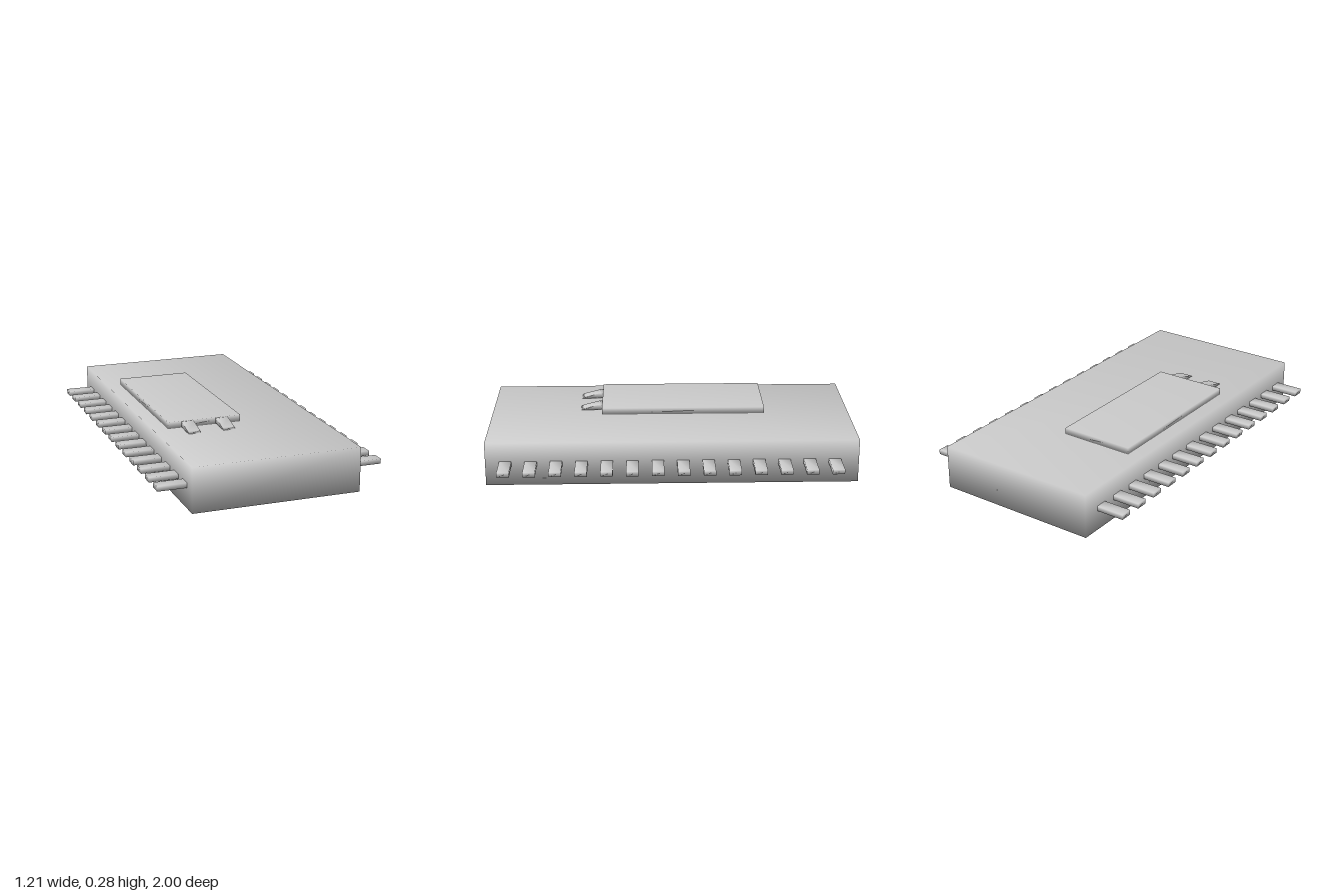
import * as THREE from 'three';
import { mergeVertices } from 'three/addons/utils/BufferGeometryUtils.js';

const material = new THREE.MeshStandardMaterial({ color: 0xcccccc });

// Weld the corners so the shading runs smoothly around each block
function smooth(geometry) {
  geometry.deleteAttribute('normal');
  geometry.deleteAttribute('uv');
  const welded = mergeVertices(geometry, 1e-4);
  welded.computeVertexNormals();
  return welded;
}

function addPart(parent, name, geometry, x = 0, y = 0, z = 0) {
  const mesh = new THREE.Mesh(geometry, material);
  mesh.name = name;
  mesh.position.set(x, y, z);
  parent.add(mesh);
}

const block = (w, h, d) => smooth(new THREE.BoxGeometry(w, h, d));

export function createModel() {
  const model = new THREE.Group();
  model.name = 'integratedCircuit';

  // Main housing
  addPart(model, 'body', block(0.906, 0.24, 2), 0, 0.12, 0);

  // Rows of flat pins along both long sides
  const pinCount = 14;
  const pinGeometry = block(0.156, 0.026, 0.065);
  for (const side of [-1, 1]) {
    const row = new THREE.Group();
    row.name = side > 0 ? 'leftPins' : 'rightPins';
    for (let i = 0; i < pinCount; i++) {
      addPart(row, 'pin', pinGeometry, side * 0.529, 0.122, -0.87 + i * 0.1356);
    }
    model.add(row);
  }

  // Thin plate lying on top of the housing
  addPart(model, 'topPlate', block(0.408, 0.037, 0.91), -0.169, 0.2585, -0.07);

  // Two leads sloping from the plate down to the housing
  const profile = new THREE.Shape([
    new THREE.Vector2(0.38, 0.246),
    new THREE.Vector2(0.42, 0.24),
    new THREE.Vector2(0.505, 0.24),
    new THREE.Vector2(0.49, 0.25),
    new THREE.Vector2(0.40, 0.273),
    new THREE.Vector2(0.38, 0.273),
  ]);
  const width = 0.066;
  const lead = new THREE.ExtrudeGeometry(profile, { depth: width, bevelEnabled: false });
  lead.translate(0, 0, -width / 2).rotateY(-Math.PI / 2);
  const leadGeometry = smooth(lead);
  for (const x of [-0.265, -0.072]) addPart(model, 'plateLead', leadGeometry, x);

  return model;
}
